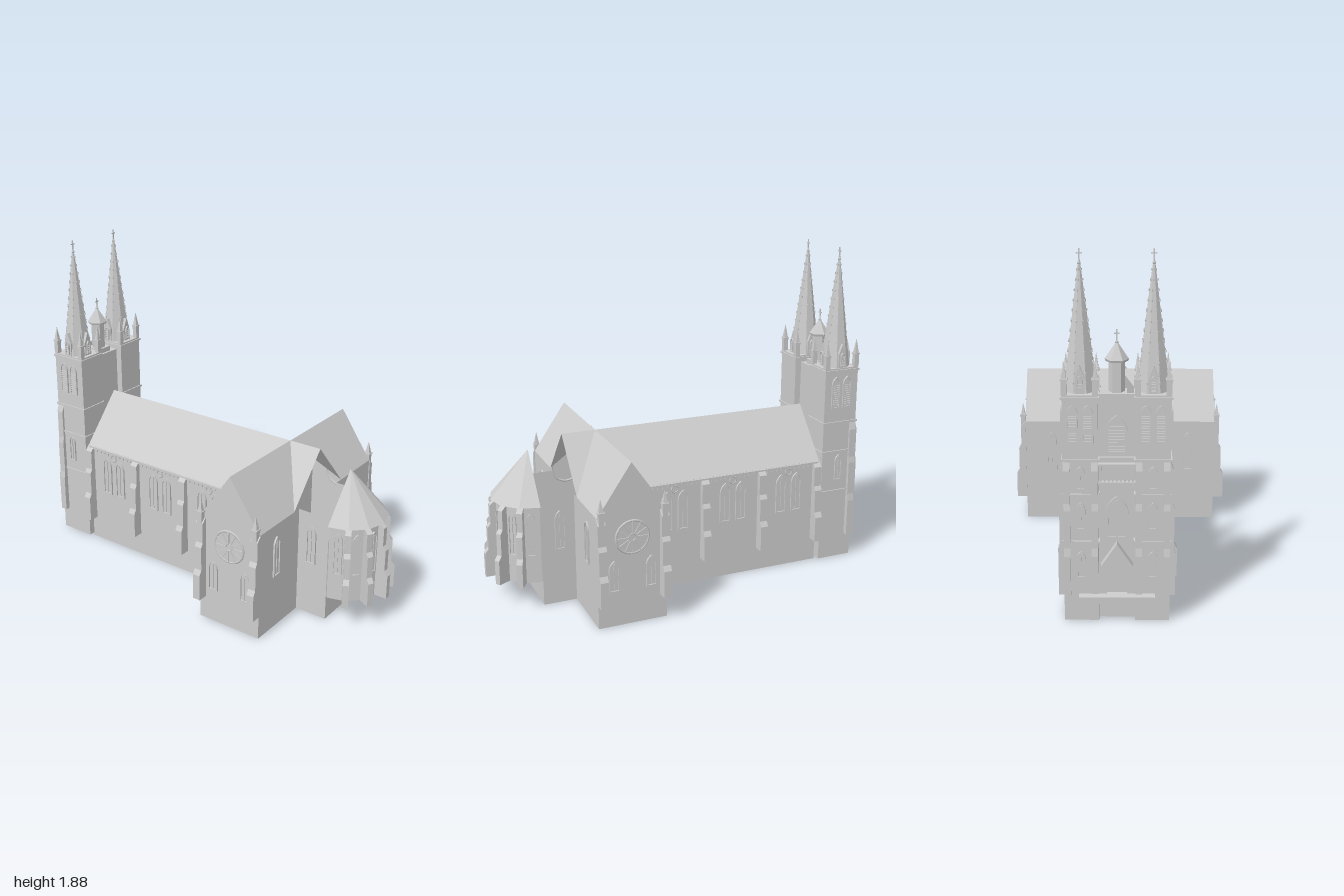
import * as THREE from 'three';

const stone = new THREE.MeshStandardMaterial({ color: 0xcccccc, side: THREE.DoubleSide });
const PI = Math.PI;
const EAVE = 0.63, RIDGE = 0.915, BASE = 0.14;

// Local frame: x runs along the nave to the apse, z across it, origin at the crossing
function add(parent, name, geo, x = 0, y = 0, z = 0, ry = 0) {
  const m = new THREE.Mesh(geo, stone);
  m.name = name;
  m.position.set(x, y, z);
  m.rotation.y = ry;
  parent.add(m);
  return m;
}
function group(parent, name, x = 0, y = 0, z = 0, ry = 0) {
  const g = new THREE.Group();
  g.name = name;
  g.position.set(x, y, z);
  g.rotation.y = ry;
  parent.add(g);
  return g;
}
const box = (w, h, d) => new THREE.BoxGeometry(w, h, d);
function faceted(r0, r1, h, n) {
  const g = new THREE.CylinderGeometry(r0, r1, h, n).toNonIndexed();
  g.computeVertexNormals();
  return g;
}
// Flat convex polygon from its corners
function sheet(parent, name, pts) {
  const v = [];
  for (let i = 1; i < pts.length - 1; i++) v.push(...pts[0], ...pts[i], ...pts[i + 1]);
  const g = new THREE.BufferGeometry();
  g.setAttribute('position', new THREE.Float32BufferAttribute(v, 3));
  g.computeVertexNormals();
  return add(parent, name, g);
}
function arch(w, h, y = 0, S = THREE.Shape) {
  const s = new S(), spring = y + h - w * 0.866;
  s.moveTo(-w / 2, y);
  s.lineTo(w / 2, y);
  s.lineTo(w / 2, spring);
  s.absarc(-w / 2, spring, w, 0, PI / 3);
  s.absarc(w / 2, spring, w, PI * 2 / 3, PI);
  return s;
}
const extrude = (s, depth) => new THREE.ExtrudeGeometry(s, { depth, bevelEnabled: false, curveSegments: 5 });

// Pointed window: raised frame, pane, mullion or louvres
function lancet(parent, w, h, x, y, z, ry, louvres = 0) {
  const g = group(parent, 'lancetWindow', x, y, z, ry);
  const outer = arch(w, h);
  outer.holes.push(arch(w * 0.72, h - w * 0.28, w * 0.14, THREE.Path));
  add(g, 'windowFrame', extrude(outer, 0.01));
  add(g, 'windowPane', extrude(arch(w * 0.72, h - w * 0.28, w * 0.14), 0.003));
  if (!louvres) add(g, 'mullion', box(w * 0.1, h * 0.86, 0.007), 0, h * 0.48, 0.004);
  for (let i = 0; i < louvres; i++)
    add(g, 'louvre', box(w * 0.72, 0.004, 0.008), 0, h * (0.12 + 0.66 * i / louvres), 0.006);
}
// Stepped buttress with sloping offsets, facing local +z
function buttress(parent, x, z, ry, depth = 0.06, top = EAVE, width = 0.045) {
  const f = t => BASE + (top - BASE) * t;
  const s = new THREE.Shape([[0, 0], [1, 0], [1, 0.31], [0.72, 0.37], [0.72, 0.65], [0.48, 0.7], [0.48, 0.94], [0, 1]]
    .map(([d, t]) => new THREE.Vector2(d * depth, f(t))));
  const geo = extrude(s, width).translate(0, 0, -width / 2).rotateY(-PI / 2);
  add(parent, 'buttress', geo, x, 0, z, ry);
}
function pinnacle(parent, x, y, z, w, h) {
  const g = group(parent, 'pinnacle', x, y, z);
  add(g, 'pinnacleShaft', box(w, h * 0.48, w), 0, h * 0.24, 0);
  add(g, 'pinnacleCap', box(w * 1.25, h * 0.05, w * 1.25), 0, h * 0.48, 0);
  add(g, 'pinnacleSpire', faceted(0.001, w * 0.66, h * 0.52, 4), 0, h * 0.74, 0, PI / 4);
}
function finial(parent, y, h) {
  add(parent, 'finialPost', box(0.006, h, 0.006), 0, y + h / 2, 0);
  add(parent, 'finialArm', box(0.006, 0.006, h * 0.36), 0, y + h * 0.72, 0);
  add(parent, 'finialKnob', new THREE.SphereGeometry(0.009, 8, 6), 0, y + h * 0.15, 0);
}
// Wheel window: rim, hub and spokes
function rose(parent, x, y, z, ry) {
  const g = group(parent, 'roseWindow', x, y, z, ry);
  add(g, 'roseRim', new THREE.TorusGeometry(0.092, 0.007, 6, 32));
  add(g, 'rosePane', new THREE.CircleGeometry(0.09, 32), 0, 0, 0.003);
  add(g, 'roseHub', new THREE.TorusGeometry(0.02, 0.004, 6, 16), 0, 0, 0.004);
  for (let i = 0; i < 12; i++)
    add(g, 'roseSpoke', box(0.07, 0.004, 0.008).translate(0.055, 0, 0), 0, 0, 0.004).rotation.z = i * PI / 6;
}

function tower(parent, s) {
  const x = -1.43, z = 0.178 * s, W = 0.215, D = 0.174, H = 1.19;
  const g = group(parent, 'tower', x, 0, z);
  const out = s > 0 ? 0 : PI;
  add(g, 'towerShaft', box(W, H, D), 0, H / 2, 0);
  for (const y of [0.43, 0.68, 0.86, 1.175])
    add(g, 'stringCourse', box(W + 0.014, 0.012, D + 0.014), 0, y, 0);
  // Belfry openings and lower windows
  for (const d of [-0.037, 0.037]) {
    lancet(g, 0.056, 0.19, d, 0.95, s * D / 2, out, 10);
    lancet(g, 0.056, 0.19, -W / 2, 0.95, d, -PI / 2, 10);
  }
  lancet(g, 0.045, 0.16, 0, 0.5, s * D / 2, out);
  lancet(g, 0.045, 0.14, -W / 2, 0.5, 0, -PI / 2);
  lancet(g, 0.045, 0.12, -W / 2, 0.71, 0, -PI / 2);
  lancet(g, 0.045, 0.14, -W / 2, 0.24, 0, -PI / 2);
  buttress(g, -W / 2 + 0.022, s * D / 2, out, 0.028, 0.85, 0.04);
  for (const d of [-1, 1]) buttress(g, -W / 2, d * (D / 2 - 0.018), -PI / 2, 0.028, 0.85, 0.032);
  // Spire with ribs, crockets, corner pinnacles and gabled dormers
  const spire = group(g, 'spire', 0, H, 0);
  add(spire, 'spireRoof', faceted(0.004, 0.086, 0.64, 8), 0, 0.32, 0, PI / 8);
  for (let i = 0; i < 8; i++) {
    const a = PI / 8 + i * PI / 4;
    for (let k = 1; k < 13; k++) {
      const r = 0.086 - 0.082 * k / 13;
      add(spire, 'crocket', box(0.007, 0.01, 0.007), r * Math.cos(a), 0.64 * k / 13, r * Math.sin(a), -a);
    }
  }
  finial(spire, 0.61, 0.08);
  for (const i of [-1, 1]) for (const j of [-1, 1])
    pinnacle(g, i * (W / 2 - 0.012), H, j * (D / 2 - 0.012), 0.028, 0.16);
  for (let i = 0; i < 4; i++) {
    const d = group(spire, 'dormer', 0, 0, 0, i * PI / 2);
    const gable = new THREE.Shape([[-0.024, 0], [0.024, 0], [0.024, 0.08], [0, 0.14], [-0.024, 0.08]]
      .map(p => new THREE.Vector2(...p)));
    add(d, 'dormerBody', extrude(gable, 0.05), 0, 0, 0.034);
    lancet(d, 0.028, 0.08, 0, 0.01, 0.084, 0, 4);
  }
}

function westFront(g) {
  const W = -1.5;
  add(g, 'centralBay', box(0.14, 1.15, 0.186), W + 0.07, 0.575, 0);
  add(g, 'parapet', box(0.015, 0.05, 0.186), W - 0.01, 1.165, 0);
  add(g, 'bayCornice', box(0.03, 0.014, 0.186), W, 0.86, 0);
  add(g, 'portalSteps', box(0.045, 0.035, 0.38), -1.58, BASE, 0);
  // Portal with gable
  const p = group(g, 'portal', W, BASE, 0, -PI / 2);
  const gable = new THREE.Shape([[-0.08, 0], [0.08, 0], [0.08, 0.16], [0, 0.28], [-0.08, 0.16]]
    .map(q => new THREE.Vector2(...q)));
  gable.holes.push(arch(0.1, 0.19, 0.002, THREE.Path));
  add(p, 'portalGable', extrude(gable, 0.045));
  add(p, 'portalDoor', extrude(arch(0.1, 0.19), 0.008));
  lancet(g, 0.12, 0.23, W, 0.43, 0, -PI / 2);
  lancet(g, 0.11, 0.2, W, 0.88, 0, -PI / 2, 8);
  // Gallery
  for (const y of [0.735, 0.83]) add(g, 'galleryRail', box(0.03, 0.012, 0.186), W - 0.012, y, 0);
  for (let i = -4; i <= 4; i++) add(g, 'baluster', box(0.012, 0.09, 0.008), W - 0.014, 0.782, i * 0.02);
  // Ridge turret
  const t = group(g, 'turret', -1.425, 1.15, 0);
  add(t, 'turretBase', box(0.1, 0.03, 0.1), 0, 0.015, 0);
  add(t, 'turretDrum', faceted(0.04, 0.04, 0.18, 6), 0, 0.1, 0);
  add(t, 'turretCornice', faceted(0.06, 0.055, 0.012, 6), 0, 0.188, 0);
  add(t, 'turretRoof', faceted(0.006, 0.058, 0.08, 6), 0, 0.234, 0);
  finial(t, 0.265, 0.075);
}

function apse(parent) {
  const g = group(parent, 'apse', 0.39, 0, 0);
  const at = (r, y, i) => [r * Math.cos(i * PI / 6), y, r * Math.sin(i * PI / 6)];
  for (let i = -3; i < 3; i++) {
    sheet(g, 'apseWall', [at(0.2, BASE, i), at(0.2, 0.59, i), at(0.2, 0.59, i + 1), at(0.2, BASE, i + 1)]);
    sheet(g, 'apseRoof', [at(0.222, 0.59, i), [0, 0.85, 0], at(0.222, 0.59, i + 1)]);
    sheet(g, 'apseEave', [at(0.2, 0.59, i), at(0.222, 0.59, i), at(0.222, 0.59, i + 1), at(0.2, 0.59, i + 1)]);
    const m = at(0.2 * Math.cos(PI / 12), 0.3, i + 0.5);
    lancet(g, 0.05, 0.25, ...m, PI / 2 - (i + 0.5) * PI / 6);
  }
  for (let i = -2; i <= 2; i++) {
    const p = at(0.195, 0, i);
    buttress(g, p[0], p[2], PI / 2 - i * PI / 6, 0.075, 0.59, 0.034);
  }
}

export function createModel() {
  const root = new THREE.Group();
  root.name = 'church';
  const g = group(root, 'churchBody', 0.42, 0, 0.27, -0.649);
  const N = 0.25, T = 0.195, L = 0.58, W = -1.3, C = 0.2, E = 0.385;
  for (const s of [-1, 1]) {
    const out = s > 0 ? 0 : PI;
    // Nave
    sheet(g, 'naveWall', [[W, 0, s * N], [-T, 0, s * N], [-T, EAVE, s * N], [W, EAVE, s * N]]);
    sheet(g, 'naveRoof', [[W - 0.01, EAVE, s * N], [-T, EAVE, s * N], [0, RIDGE, 0], [W - 0.01, RIDGE, 0]]);
    add(g, 'naveCornice', box(-T - W, 0.014, 0.012), (W - T) / 2, EAVE - 0.008, s * (N + 0.004));
    for (let i = 0; i < 36; i++) add(g, 'dentil', box(0.012, 0.012, 0.01), W + 0.03 + i * 0.03, 0.61, s * (N + 0.004));
    for (let i = 0; i < 4; i++) buttress(g, -0.2 - i * 0.363 - (i ? 0 : 0.02), s * N, out);
    for (let i = 0; i < 3; i++) {
      const x = -0.382 - i * 0.363;
      for (const d of [-0.05, 0.05]) lancet(g, 0.068, 0.24, x + d, 0.34, s * N, out);
      add(g, 'oculus', new THREE.TorusGeometry(0.02, 0.005, 5, 16), x, 0.59, s * N);
    }
    // Transept arm
    sheet(g, 'transeptGable', [[-T, 0, s * L], [T, 0, s * L], [T, EAVE, s * L], [0, RIDGE, s * L], [-T, EAVE, s * L]]);
    rose(g, 0, 0.5, s * L, out);
    for (const e of [-1, 1]) {
      const inner = e < 0 ? N : C;
      sheet(g, 'transeptWall', [[e * T, 0, s * inner], [e * T, 0, s * L], [e * T, EAVE, s * L], [e * T, EAVE, s * inner]]);
      sheet(g, 'transeptRoof', [[e * T, EAVE, s * L], [e * T, EAVE, s * N], [0, RIDGE, 0], [0, RIDGE, s * L]]);
      lancet(g, 0.06, 0.24, e * T, 0.32, s * 0.42, e * PI / 2);
      lancet(g, 0.06, 0.18, e * 0.105, 0.2, s * L, out);
      buttress(g, e * 0.178, s * L, out, 0.06);
      pinnacle(g, e * 0.178, 0.6, s * (L + 0.014), 0.03, 0.14);
    }
    // Choir
    sheet(g, 'choirRoof', [[0, RIDGE, 0], [T, RIDGE, 0], [T, EAVE, s * N]]);
    sheet(g, 'choirWall', [[T, 0, s * C], [E, 0, s * C], [E, EAVE, s * C], [T, EAVE, s * C]]);
    lancet(g, 0.06, 0.23, 0.28, 0.32, s * C, out);
    tower(g, s);
  }
  sheet(g, 'naveEndGable', [[W, 0, -N], [W, 0, N], [W, EAVE, N], [W, RIDGE, 0], [W, EAVE, -N]]);
  sheet(g, 'choirEndWall', [[E, 0, -C], [E, 0, C], [E, BASE, C], [E, BASE, -C]]);
  westFront(g);
  apse(g);
  return root;
}
